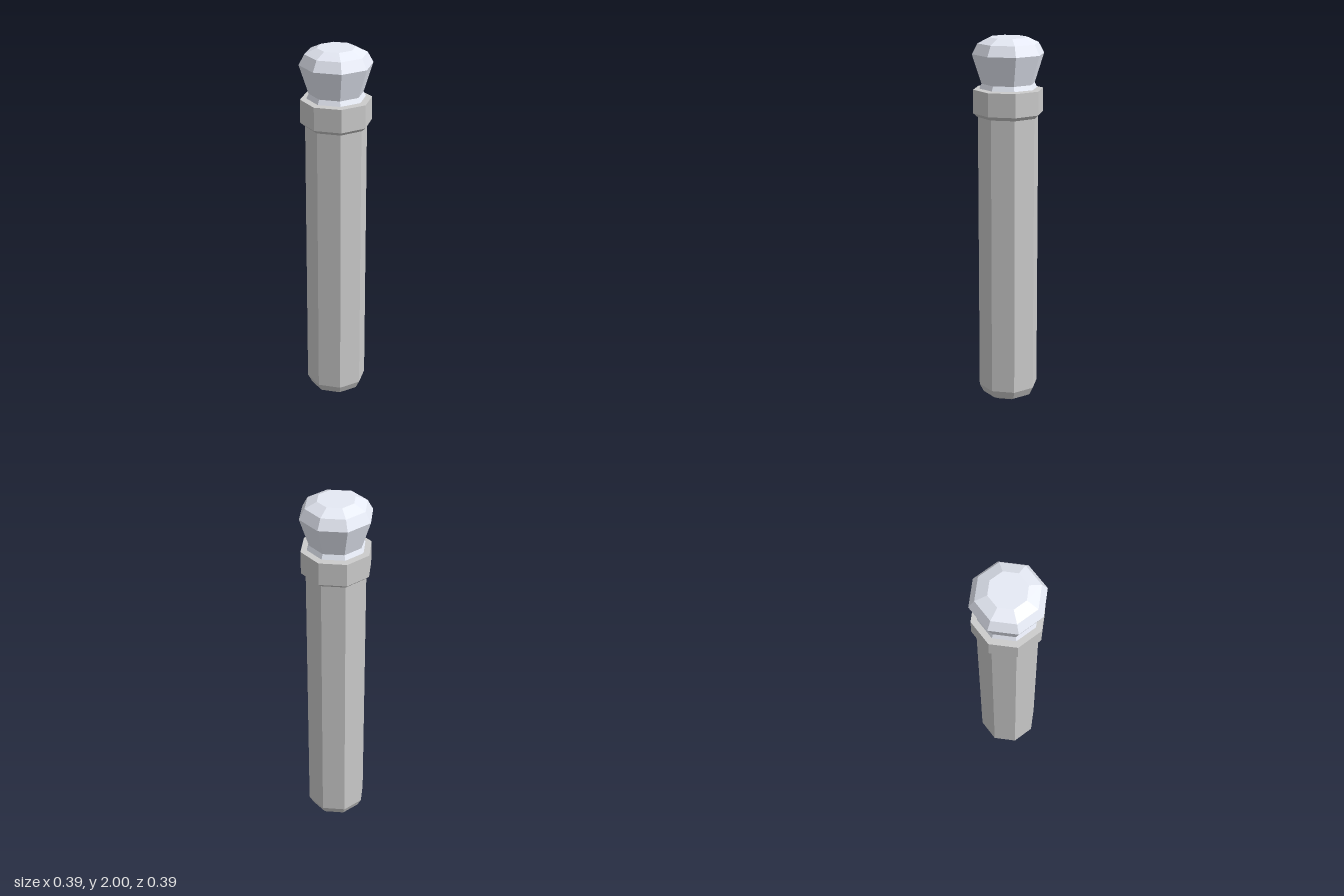
import * as THREE from 'three';

const SIDES = 8;

// Faceted solid of revolution from [radius, height] pairs, bottom to top
function turned(name, profile, color) {
  const points = profile.map(([r, y]) => new THREE.Vector2(r, y));
  const mesh = new THREE.Mesh(
    new THREE.LatheGeometry(points, SIDES),
    new THREE.MeshStandardMaterial({ color, flatShading: true })
  );
  mesh.name = name;
  return mesh;
}

export function createModel() {
  const group = new THREE.Group();
  group.name = 'post';

  // Long shaft with a rounded foot
  group.add(turned('shaft', [
    [0, 0], [0.09, 0], [0.14, 0.025], [0.163, 0.07], [0.163, 1.59], [0, 1.59],
  ], 0xcccccc));

  // Collar with a chamfered lower edge
  group.add(turned('collar', [
    [0, 1.585], [0.165, 1.585], [0.188, 1.605], [0.188, 1.73], [0, 1.73],
  ], 0xcccccc));

  // Pale knob: flared foot, narrow neck, wide shoulder, flat crown
  group.add(turned('knob', [
    [0, 1.728], [0.155, 1.735], [0.143, 1.76], [0.193, 1.915],
    [0.163, 1.97], [0.1, 2], [0, 2],
  ], 0xe6eaf5));

  return group;
}
